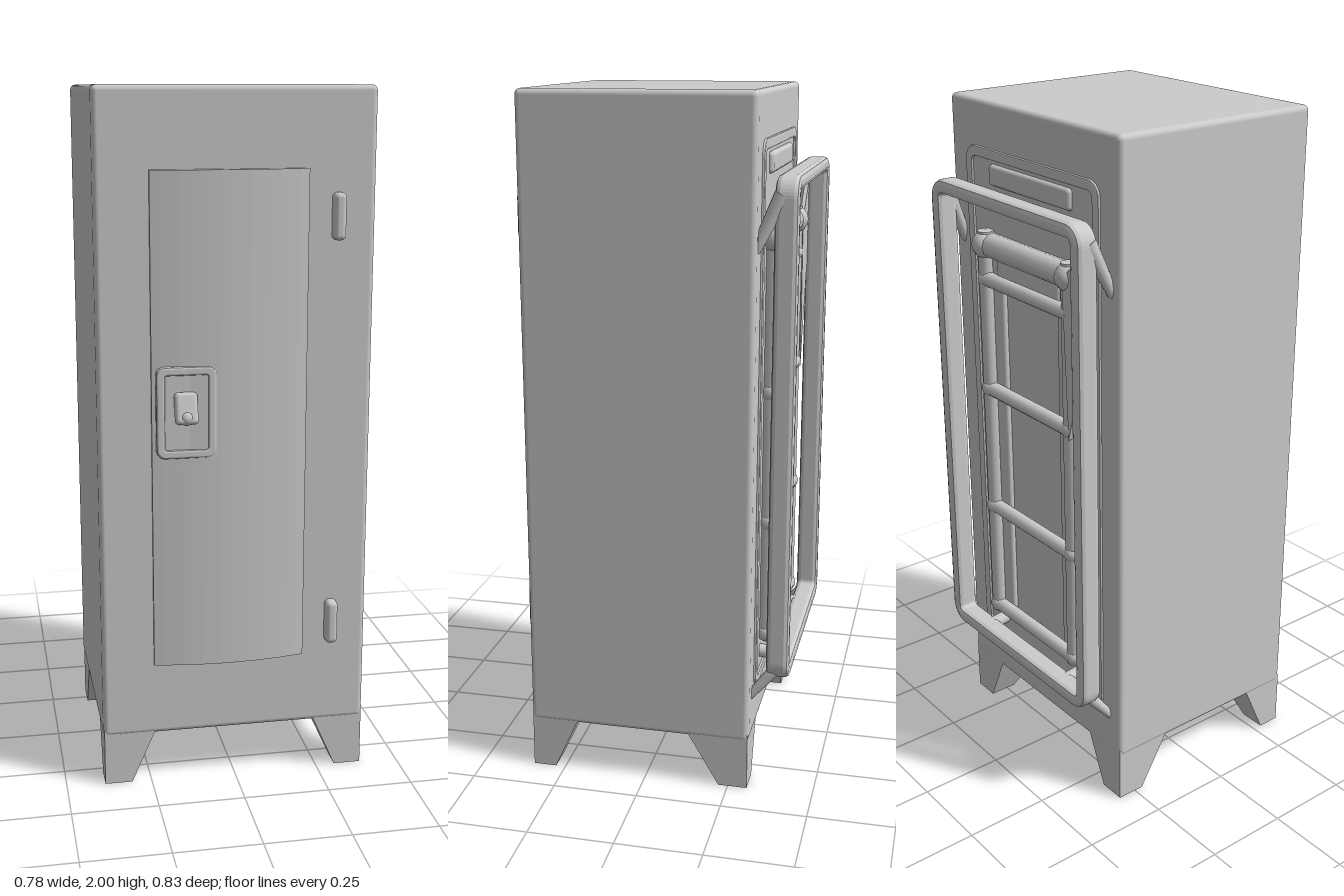
import * as THREE from 'three';
import { RoundedBoxGeometry } from 'three/addons/geometries/RoundedBoxGeometry.js';

const grey = new THREE.MeshStandardMaterial({ color: 0xcccccc });

export function createModel() {
  const root = new THREE.Group();
  const add = (name, geo, x = 0, y = 0, z = 0) => {
    const m = new THREE.Mesh(geo, grey);
    m.name = name;
    m.position.set(x, y, z);
    root.add(m);
    return m;
  };
  const rbox = (w, h, d, r) => new RoundedBoxGeometry(w, h, d, 3, r);
  const rod = (name, a, b, rStart, rEnd = rStart) => {
    const p = new THREE.Vector3(...a), q = new THREE.Vector3(...b);
    const m = add(name, new THREE.CylinderGeometry(rEnd, rStart, p.distanceTo(q), 12));
    m.position.copy(p).add(q).multiplyScalar(0.5);
    m.quaternion.setFromUnitVectors(new THREE.Vector3(0, 1, 0), q.sub(p).normalize());
  };
  const roundRect = (P, x, y, w, h, r) => {
    const s = new P();
    s.moveTo(x + r, y);
    s.lineTo(x + w - r, y);
    s.absarc(x + w - r, y + r, r, -Math.PI / 2, 0);
    s.lineTo(x + w, y + h - r);
    s.absarc(x + w - r, y + h - r, r, 0, Math.PI / 2);
    s.lineTo(x + r, y + h);
    s.absarc(x + r, y + h - r, r, Math.PI / 2, Math.PI);
    s.lineTo(x, y + r);
    s.absarc(x + r, y + r, r, Math.PI, Math.PI * 1.5);
    return s;
  };
  // Rounded rectangular ring with a bevelled section
  const ring = (x, y, w, h, rail, r, depth, b) => {
    const s = roundRect(THREE.Shape, x + b, y + b, w - 2 * b, h - 2 * b, r);
    const k = rail - b;
    s.holes.push(roundRect(THREE.Path, x + k, y + k, w - 2 * k, h - 2 * k, r * 0.6));
    return new THREE.ExtrudeGeometry(s, {
      depth: depth - 2 * b, bevelSize: b, bevelThickness: b, bevelSegments: 2, curveSegments: 5,
    }).translate(0, 0, b);
  };

  // Cabinet body
  add('cabinetBody', rbox(0.78, 1.85, 0.66, 0.016), 0, 1.075, 0.02);

  // Tapered corner legs: the inner faces slope towards the outer corner
  for (const sx of [-1, 1]) for (const front of [true, false]) {
    const outer = front ? 0.347 : -0.307, dir = front ? -1 : 1;
    const geo = new THREE.BoxGeometry(1, 1, 1).toNonIndexed();
    const p = geo.attributes.position;
    for (let i = 0; i < p.count; i++) {
      const top = p.getY(i) > 0;
      const wx = top ? 0.155 : 0.08, wz = top ? (front ? 0.145 : 0.185) : (front ? 0.068 : 0.085);
      const inX = p.getX(i) * sx < 0, inZ = p.getZ(i) * dir > 0;
      p.setXYZ(i, sx * (0.387 - (inX ? wx : 0)), top ? 0.17 : 0, outer + (inZ ? dir * wz : 0));
    }
    geo.computeVertexNormals();
    add('leg', geo);
  }

  // Shallow convex door
  const door = new THREE.Shape();
  door.moveTo(-0.24, 0.33);
  door.lineTo(-0.24, 0.36);
  door.quadraticCurveTo(-0.02, 0.404, 0.2, 0.357);
  door.lineTo(0.2, 0.33);
  const doorGeo = new THREE.ExtrudeGeometry(door, { depth: 1.41, bevelEnabled: false, curveSegments: 16 });
  add('door', doorGeo.rotateX(Math.PI / 2), 0, 1.78, 0);

  // Hinges
  for (const y of [0.47, 1.65])
    add('hinge', rbox(0.035, 0.13, 0.05, 0.014), 0.283, y, 0.357);

  // Latch plate, rim and tilted handle
  add('latchPlate', rbox(0.165, 0.25, 0.04, 0.012), -0.145, 1.12, 0.356);
  add('latchRim', ring(-0.085, -0.13, 0.17, 0.26, 0.025, 0.02, 0.02, 0.006), -0.145, 1.12, 0.363);
  add('latchHandle', rbox(0.065, 0.09, 0.03, 0.012), -0.148, 1.135, 0.388).rotation.x = -0.3;
  add('latchKnob', new THREE.SphereGeometry(0.022, 14, 10), -0.148, 1.11, 0.394);

  // Raised border and bar on the rear panel
  add('rearPanelBorder', ring(-0.31, 0.28, 0.62, 1.59, 0.03, 0.04, 0.02, 0.005), 0, 0, -0.317);
  add('rearUpperBar', rbox(0.38, 0.06, 0.03, 0.012), 0, 1.8, -0.308);

  // Outer guard frame standing off the back, on four brackets
  add('guardFrame', ring(-0.354, 0.33, 0.706, 1.45, 0.042, 0.045, 0.066, 0.014), 0, 0, -0.416);
  for (const s of [-1, 1]) {
    rod('upperBracket', [s * 0.332, 1.73, -0.37], [s * 0.35, 1.58, -0.3], 0.024, 0.014);
    rod('lowerBracket', [s * 0.325, 0.355, -0.37], [s * 0.335, 0.27, -0.3], 0.018, 0.012);
    rod('bottomStandoff', [s * 0.2, 0.35, -0.385], [s * 0.2, 0.36, -0.3], 0.02);
  }

  // Tapering web between the guard frame and the inner pipework
  const web = new THREE.Shape([[-0.33, 1.72], [-0.33, 1.5], [-0.22, 1.14], [-0.2, 1.6]]
    .map(([x, y]) => new THREE.Vector2(x, y)));
  add('guardWeb', new THREE.ExtrudeGeometry(web, { depth: 0.012, bevelEnabled: false }), 0, 0, -0.356);

  // Ladder-like inner pipework, backed by flat side strips
  for (const s of [-1, 1]) {
    rod('ladderPost', [s * 0.2, 0.4, -0.33], [s * 0.2, 1.64, -0.33], 0.024);
    add('ladderSideStrip', rbox(0.06, 1.2, 0.03, 0.01), s * 0.16, 1.02, -0.31);
    for (const y of [0.42, 0.77, 1.16, 1.6])
      add('ladderJoint', new THREE.SphereGeometry(y > 1.5 ? 0.042 : 0.03, 12, 8), s * 0.2, y, -0.33);
  }
  for (const y of [0.42, 0.77, 1.16, 1.5])
    rod('ladderRung', [-0.21, y, -0.335], [0.21, y, -0.335], 0.022);
  rod('ladderTopRoll', [-0.2, 1.6, -0.325], [0.2, 1.6, -0.325], 0.036);
  add('ladderHeadPlate', rbox(0.3, 0.11, 0.03, 0.01), 0, 1.55, -0.318);

  return root;
}
